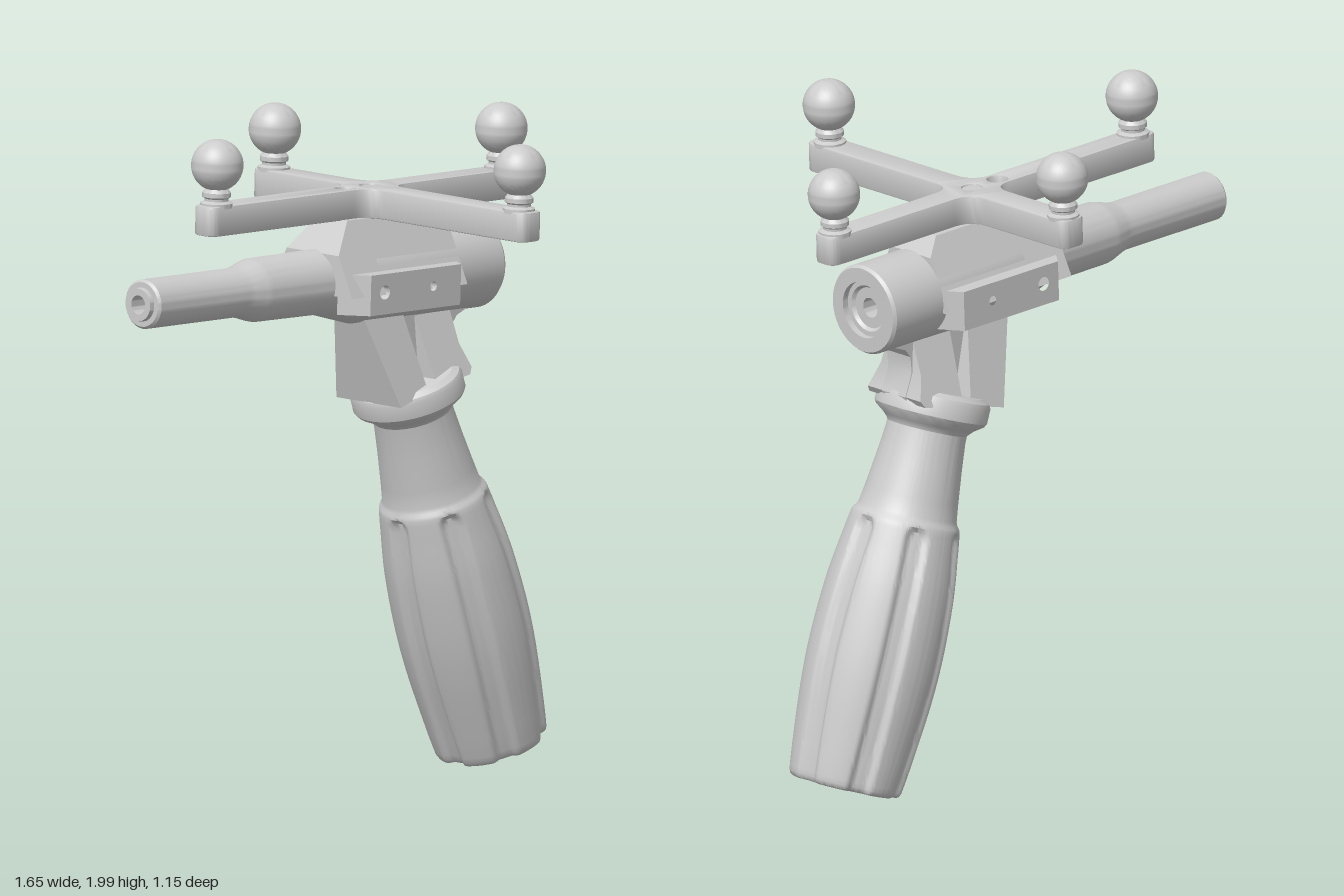
import * as THREE from 'three';
import { toCreasedNormals } from 'three/addons/utils/BufferGeometryUtils.js';

const material = new THREE.MeshStandardMaterial({ color: 0xcccccc });
const V2 = (p) => new THREE.Vector2(p[0], p[1]);

function addMesh(parent, name, geometry, crease = 0.5) {
  const mesh = new THREE.Mesh(toCreasedNormals(geometry, crease), material);
  mesh.name = name;
  parent.add(mesh);
  return mesh;
}

// Move every vertex by a rule
function deform(geometry, rule) {
  const pos = geometry.attributes.position;
  const v = new THREE.Vector3();
  for (let i = 0; i < pos.count; i++) {
    v.fromBufferAttribute(pos, i);
    rule(v);
    pos.setXYZ(i, v.x, v.y, v.z);
  }
  return geometry;
}

const lathe = (points, segments = 48) => new THREE.LatheGeometry(points.map(V2), segments);

// Side outline extruded across z, its half width going from w0 at y0 to w1 at y1
function taperedPrism(outline, y0, w0, y1, w1) {
  const g = new THREE.ExtrudeGeometry(new THREE.Shape(outline.map(V2)), { depth: 2, bevelEnabled: false });
  g.translate(0, 0, -1);
  return deform(g, (v) => { v.z *= w0 + (w1 - w0) * (v.y - y0) / (y1 - y0); });
}

// Closed outline whose corners [x, y, r] are rounded
function roundedShape(corners) {
  const shape = new THREE.Shape();
  corners.forEach((c, i) => {
    const p = V2(c);
    const toward = (q) => V2(q).sub(p).normalize().multiplyScalar(c[2]).add(p);
    const a = toward(corners[(i + corners.length - 1) % corners.length]);
    const b = toward(corners[(i + 1) % corners.length]);
    if (i === 0) shape.moveTo(a.x, a.y); else shape.lineTo(a.x, a.y);
    shape.quadraticCurveTo(p.x, p.y, b.x, b.y);
  });
  shape.closePath();
  return shape;
}

function circlePath(x, y, r) {
  const path = new THREE.Path();
  path.absarc(x, y, r, 0, Math.PI * 2, true);
  return path;
}

// Side pad with chamfered ends and two screw holes
function sidePad(side) {
  const x0 = -0.185, x1 = 0.195, y0 = -0.085, y1 = 0.035;
  const shape = new THREE.Shape([[x0, y0], [x1, y0], [x1, y1], [x0, y1]].map((p) => V2([p[0] * side, p[1]])));
  shape.holes.push(circlePath(-0.125 * side, -0.02, 0.021), circlePath(0.08 * side, -0.02, 0.014));
  const g = new THREE.ExtrudeGeometry(shape, { depth: 0.178, bevelEnabled: false, curveSegments: 16 });
  deform(g, (v) => {
    const x = v.x * side;
    if (v.z < 0.01) {
      v.z = 0.1;
      if (x < x0 + 0.01) v.x -= 0.06 * side;
      if (x > x1 - 0.01) v.x += 0.045 * side;
    }
  });
  if (side < 0) g.rotateY(Math.PI);
  return g;
}

// Barrel, housing and marker cross share one slightly tilted frame
function buildHead() {
  const head = new THREE.Group();
  head.name = 'head';
  head.position.set(0.16, 1.52, -0.11);
  head.rotation.z = -0.038;

  const barrel = lathe([
    [0, -0.9], [0.028, -0.9], [0.028, -0.985], [0.048, -0.985], [0.05, -0.97], [0.066, -0.97],
    [0.073, -0.962], [0.073, -0.59], [0.078, -0.565], [0.09, -0.525], [0.094, -0.505], [0.096, -0.25],
    [0.135, -0.1], [0.135, 0.425], [0.128, 0.435], [0.085, 0.435], [0.085, 0.415], [0.07, 0.415],
    [0.062, 0.405], [0.03, 0.405], [0.03, 0.32], [0, 0.32],
  ], 64);
  barrel.rotateZ(-Math.PI / 2);
  addMesh(head, 'barrel', barrel);

  addMesh(head, 'housingTop', taperedPrism(
    [[-0.25, -0.03], [0.238, -0.03], [0.238, 0.13], [0.19, 0.182], [-0.17, 0.182], [-0.25, 0.09]],
    0.03, 0.135, 0.182, 0.06), 0.3);
  for (const side of [1, -1]) addMesh(head, side > 0 ? 'frontSidePad' : 'backSidePad', sidePad(side), 0.3);

  // Cross of four arms, drawn in plan with +y pointing to the back
  const c = -0.015, w = 0.046, h = 0.043, e = 0.035, f = 0.065;
  const cross = roundedShape([
    [0.59, -h, e], [0.59, h, e], [c + w, h, f], [c + w, 0.44, e], [c - w, 0.44, e], [c - w, h, f],
    [-0.725, h, e], [-0.725, -h, e], [c - w, -h, f], [c - w, -0.665, e], [c + w, -0.665, e], [c + w, -h, f],
  ]);
  cross.holes.push(circlePath(c, 0, 0.03), circlePath(-0.118, 0, 0.031));
  const bevel = 0.006;
  const plate = new THREE.ExtrudeGeometry(cross, {
    depth: 0.088 - 2 * bevel, bevelSize: bevel, bevelThickness: bevel, bevelOffset: -bevel, bevelSegments: 2, curveSegments: 10,
  });
  plate.rotateX(-Math.PI / 2).translate(0, 0.18 + bevel, 0);
  addMesh(head, 'markerCross', plate);

  // Pin in the hub and socket screw beside it
  const pin = addMesh(head, 'hubPin', new THREE.CylinderGeometry(0.032, 0.032, 0.08, 32));
  pin.position.set(c, 0.222, 0);
  const screw = addMesh(head, 'socketScrew', lathe(
    [[0.032, 0.18], [0.032, 0.235], [0.028, 0.242], [0.014, 0.242], [0.014, 0.215], [0, 0.215]], 24));
  screw.position.set(-0.118, 0, 0);

  // Marker balls on stems
  const ends = { leftArm: [-0.665, 0], rightArm: [0.537, 0], backArm: [c, -0.39], frontArm: [c, 0.605] };
  for (const [name, [x, z]] of Object.entries(ends)) {
    const marker = new THREE.Group();
    marker.name = name + 'Marker';
    marker.position.set(x, 0, z);
    addMesh(marker, 'stem', lathe(
      [[0.048, 0.26], [0.048, 0.274], [0.035, 0.28], [0.035, 0.287], [0.042, 0.292], [0.042, 0.305], [0.03, 0.32]], 32));
    addMesh(marker, 'ball', new THREE.SphereGeometry(0.077, 40, 28)).position.y = 0.385;
    head.add(marker);
  }
  return head;
}

// Ribbed bracket joining housing and handle collar
function buildBracket() {
  const bracket = new THREE.Group();
  bracket.name = 'bracket';
  bracket.position.z = -0.11;
  addMesh(bracket, 'web', taperedPrism(
    [[0.06, 1.43], [0.15, 1.14], [0.46, 1.19], [0.47, 1.22], [0.445, 1.29], [0.45, 1.34], [0.47, 1.365], [0.51, 1.38], [0.51, 1.43]],
    1.14, 0.05, 1.43, 0.05));
  addMesh(bracket, 'leadingRib', taperedPrism(
    [[0.06, 1.43], [0.15, 1.14], [0.275, 1.17], [0.225, 1.43]], 1.2, 0.115, 1.4, 0.062));
  addMesh(bracket, 'trailingRib', taperedPrism(
    [[0.31, 1.18], [0.455, 1.2], [0.468, 1.22], [0.442, 1.29], [0.44, 1.4], [0.29, 1.4]], 1.2, 0.12, 1.4, 0.045));
  return bracket;
}

// Raked handle with six lengthwise grooves
function buildHandle() {
  const handle = new THREE.Group();
  handle.name = 'handle';
  handle.position.set(0.67, 0.06, -0.11);
  handle.rotation.z = THREE.MathUtils.degToRad(18);

  const side = new THREE.SplineCurve([
    [0.168, 0.015], [0.178, 0.1], [0.194, 0.28], [0.198, 0.43], [0.19, 0.6], [0.172, 0.74], [0.163, 0.8],
  ].map(V2)).getSpacedPoints(52).map((p) => [p.x, p.y]);
  const grip = lathe([
    [0, 0], [0.156, 0], [0.163, 0.004], ...side, [0.159, 0.81], [0.152, 0.818], [0.147, 0.83], [0.14, 0.88],
    [0.128, 0.98], [0.12, 1.06], [0.119, 1.1],
  ], 168);
  const pitch = Math.PI / 3;
  deform(grip, (v) => {
    const r = Math.hypot(v.x, v.z);
    if (r < 0.1) return;
    const angle = Math.atan2(v.z, v.x);
    const across = Math.abs(angle - Math.round(angle / pitch) * pitch) * r;
    const d = Math.hypot(across, Math.max(0, v.y - 0.765));
    const k = 1 - 0.018 * (1 - THREE.MathUtils.smoothstep(d, 0.018, 0.042)) / r;
    v.x *= k;
    v.z *= k;
  });
  addMesh(handle, 'grip', grip, 0.7);

  addMesh(handle, 'collar', lathe([
    [0.115, 1.07], [0.121, 1.085], [0.135, 1.1], [0.163, 1.12], [0.169, 1.13], [0.169, 1.175], [0.163, 1.188], [0.145, 1.2], [0, 1.2],
  ], 64));
  return handle;
}

export function createModel() {
  const model = new THREE.Group();
  model.name = 'trackedHandTool';
  model.add(buildHead(), buildBracket(), buildHandle());
  return model;
}
